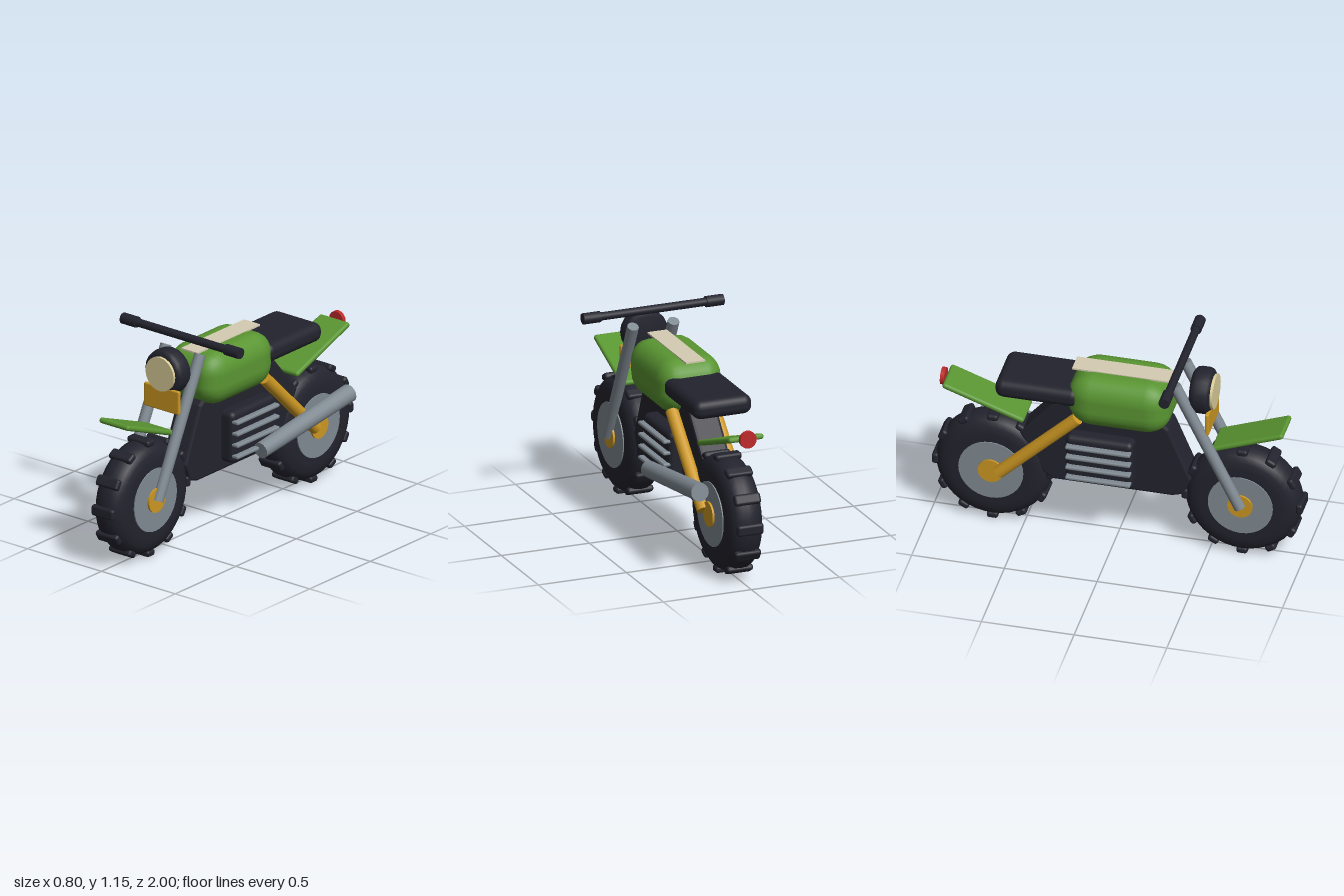
import * as THREE from 'three';
import { RoundedBoxGeometry } from 'three/addons/geometries/RoundedBoxGeometry.js';

const paint = (name, color) => {
  const m = new THREE.MeshStandardMaterial({ color });
  m.name = name;
  return m;
};

export function createModel() {
  const dark = paint('black rubber', 0x23232e);
  const green = paint('green paint', 0x5a9632);
  const gold = paint('gold metal', 0xcc9722);
  const steel = paint('grey steel', 0x808a92);
  const glass = paint('lamp glass', 0xdacd98);
  const cream = paint('cream stripe', 0xd6ccb4);
  const red = paint('red lamp', 0xbe2a2a);

  const model = new THREE.Group();
  model.name = 'motorcycle';

  const add = (name, geometry, material, x = 0, y = 0, z = 0, parent = model) => {
    const mesh = new THREE.Mesh(geometry, material);
    mesh.name = name;
    mesh.position.set(x, y, z);
    parent.add(mesh);
    return mesh;
  };
  const rounded = (w, h, d, r, seg = 2) => new RoundedBoxGeometry(w, h, d, seg, r);
  const discX = (r, width, seg = 32) => new THREE.CylinderGeometry(r, r, width, seg).rotateZ(Math.PI / 2);
  const discZ = (r, depth, seg = 20) => new THREE.CylinderGeometry(r, r, depth, seg).rotateX(Math.PI / 2);

  // Straight rod between two points
  const rod = (name, from, to, r0, r1, material, seg = 12) => {
    const a = new THREE.Vector3(...from), b = new THREE.Vector3(...to);
    const dir = b.clone().sub(a);
    const mesh = add(name, new THREE.CylinderGeometry(r1, r0, dir.length(), seg), material);
    mesh.position.copy(a).add(b).multiplyScalar(0.5);
    mesh.quaternion.setFromUnitVectors(new THREE.Vector3(0, 1, 0), dir.normalize());
  };

  // Wheels: tyre, tread blocks, rim disc and hub
  const tyreProfile = [[0.16, -0.093], [0.22, -0.095], [0.262, -0.088], [0.292, -0.068], [0.31, -0.035],
    [0.313, 0], [0.31, 0.035], [0.292, 0.068], [0.262, 0.088], [0.22, 0.095], [0.16, 0.093]]
    .map(([r, w]) => new THREE.Vector2(r, w));
  const tyre = new THREE.LatheGeometry(tyreProfile, 40).rotateZ(Math.PI / 2);
  const block = rounded(0.148, 0.036, 0.06, 0.014);
  for (const [name, z] of [['frontWheel', 0.673], ['rearWheel', -0.673]]) {
    const wheel = new THREE.Group();
    wheel.name = name;
    wheel.position.set(0, 0.328, z);
    model.add(wheel);
    add('tyre', tyre, dark, 0, 0, 0, wheel);
    add('rimDisc', discX(0.175, 0.2), steel, 0, 0, 0, wheel);
    add('hub', discX(0.068, 0.222, 20), gold, 0, 0, 0, wheel);
    for (let i = 0; i < 12; i++) {
      const a = (i / 12) * Math.PI * 2;
      const tread = add('treadBlock', block, dark, 0, Math.cos(a) * 0.309, Math.sin(a) * 0.309, wheel);
      tread.rotation.x = a;
    }
  }

  // Frame: side outline (z, y) extruded across x
  const outline = new THREE.Shape([[0.39, 0.43], [0.35, 0.34], [0.3, 0.325], [-0.34, 0.325], [-0.39, 0.36],
    [-0.51, 0.58], [-0.33, 0.79], [-0.26, 0.8], [0.22, 0.76], [0.27, 0.72]]
    .map(([z, y]) => new THREE.Vector2(-z, y)));
  const frame = new THREE.ExtrudeGeometry(outline, {
    depth: 0.13, bevelThickness: 0.015, bevelSize: 0.012, bevelSegments: 2,
  });
  add('frame', frame.translate(0, 0, -0.065).rotateY(Math.PI / 2), dark);

  // Engine with cooling fins
  add('engine', rounded(0.31, 0.29, 0.365, 0.03), dark, 0, 0.505, -0.077);
  for (let i = 0; i < 4; i++) {
    add('coolingFin', rounded(0.37, 0.02, 0.35, 0.008), steel, 0, 0.405 + i * 0.064, -0.077);
  }

  // Fuel tank with stretched corner rounding, and its stripe
  const [rx, ry, rz] = [0.1, 0.12, 0.13];
  const tank = rounded(0.36 / rx, 0.3 / ry, 0.55 / rz, 1, 3).scale(rx, ry, rz);
  add('fuelTank', tank, green, 0, 0.868, 0.02);
  add('tankStripe', new THREE.BoxGeometry(0.11, 0.009, 0.52), cream, 0, 1.018, 0.015);

  // Seat
  add('seat', rounded(0.33, 0.105, 0.455, 0.045, 3), dark, 0, 0.887, -0.413);

  // Mudguards and tail lamp
  const frontGuard = add('frontMudguard', rounded(0.2, 0.03, 0.41, 0.014), green, 0, 0.728, 0.71);
  frontGuard.rotation.x = -0.365;
  const rearGuard = add('rearMudguard', rounded(0.2, 0.03, 0.466, 0.014), green, 0, 0.742, -0.716);
  rearGuard.rotation.x = 0.345;
  add('tailLamp', discZ(0.047, 0.022, 16), red, 0, 0.818, -0.95);

  // Fork legs and rear struts
  for (const s of [1, -1]) {
    rod('forkLeg', [s * 0.115, 0.325, 0.675], [s * 0.115, 1.045, 0.325], 0.031, 0.031, steel);
    rod('rearStrut', [s * 0.116, 0.335, -0.625], [s * 0.116, 0.75, -0.2], 0.035, 0.035, gold);
  }

  // Handlebar and grips
  add('handlebar', discX(0.022, 0.7, 12), dark, 0, 1.123, 0.335);
  for (const s of [1, -1]) add('grip', discX(0.03, 0.098, 12), dark, s * 0.349, 1.123, 0.335);

  // Headlamp: rounded shell, lens and plate below
  const shell = [[0, -0.055], [0.1, -0.055], [0.12, -0.04], [0.125, -0.02], [0.125, 0.02],
    [0.12, 0.04], [0.1, 0.055], [0, 0.055]].map(([r, d]) => new THREE.Vector2(r, d));
  add('headlampShell', new THREE.LatheGeometry(shell, 20).rotateX(Math.PI / 2), dark, 0, 0.963, 0.45);
  add('headlampLens', discZ(0.095, 0.03), glass, 0, 0.963, 0.505);
  add('numberPlate', rounded(0.237, 0.132, 0.022, 0.008), gold, 0, 0.821, 0.496);

  // Exhaust silencer on the left side
  rod('exhaust', [0.195, 0.397, -0.078], [0.206, 0.503, -0.795], 0.045, 0.05, steel, 14);

  return model;
}
